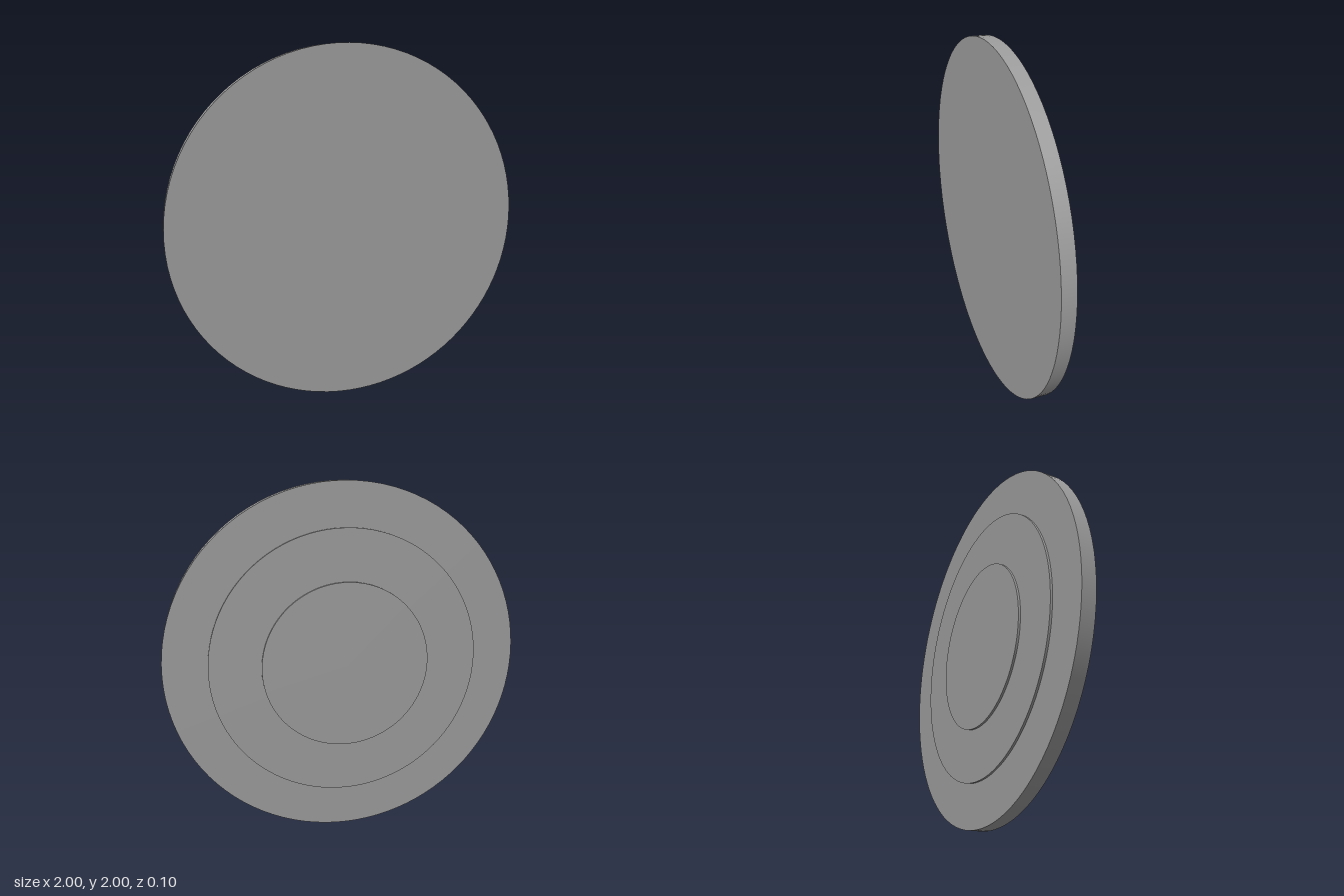
import * as THREE from 'three';

export function createModel() {
  const group = new THREE.Group();
  const material = new THREE.MeshStandardMaterial({ color: 0x9d9d9d });

  // Upright disc spanning zBack..zFront, centred at y = 1
  const addDisc = (name, radius, zBack, zFront) => {
    const geometry = new THREE.CylinderGeometry(radius, radius, zFront - zBack, 96);
    geometry.rotateX(Math.PI / 2);
    const mesh = new THREE.Mesh(geometry, material);
    mesh.name = name;
    mesh.position.set(0, 1, (zBack + zFront) / 2);
    group.add(mesh);
  };

  // Main plate, with two shallow raised steps on its back
  addDisc('mainDisc', 1, -0.026, 0.05);
  addDisc('middleBackStep', 0.76, -0.038, -0.026);
  addDisc('innerBackStep', 0.473, -0.05, -0.038);

  return group;
}
